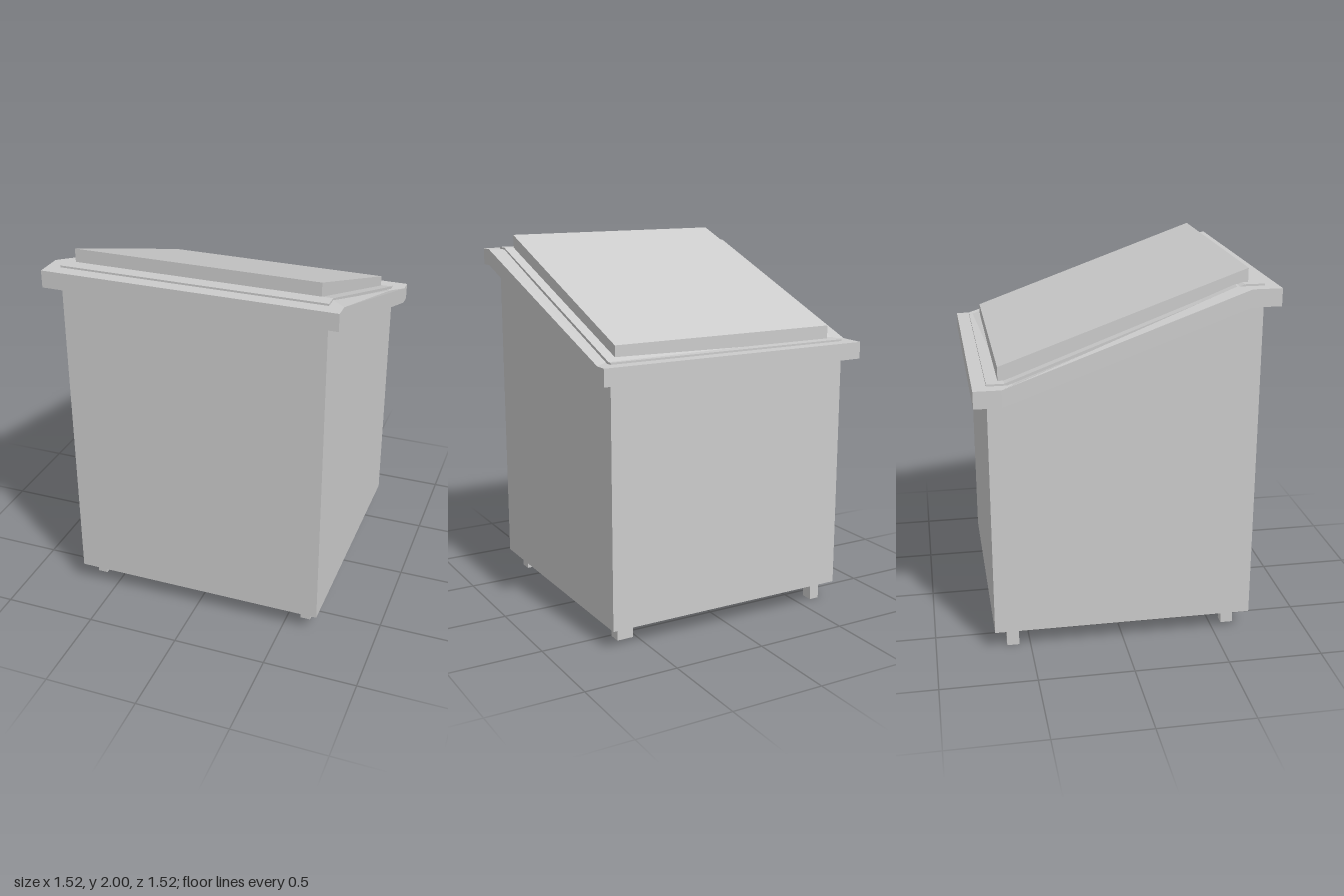
import * as THREE from 'three';

const material = new THREE.MeshStandardMaterial({ color: 0xcccccc, flatShading: true });

// Solid lofted along x; each section is { x, pts: [[z, low, high], ...] } from back to front
function loft(name, sections) {
  const v = [];
  const quad = (a, b, c, d) => v.push(...a, ...b, ...c, ...a, ...c, ...d);
  const lo = (s, i) => [s.x, s.pts[i][1], s.pts[i][0]];
  const hi = (s, i) => [s.x, s.pts[i][2], s.pts[i][0]];
  const n = sections[0].pts.length - 1;
  for (let k = 0; k < sections.length - 1; k++) {
    const a = sections[k], b = sections[k + 1];
    for (let i = 0; i < n; i++) {
      quad(hi(a, i), hi(a, i + 1), hi(b, i + 1), hi(b, i));
      quad(lo(a, i), lo(b, i), lo(b, i + 1), lo(a, i + 1));
    }
    quad(lo(a, n), lo(b, n), hi(b, n), hi(a, n));
    quad(lo(b, 0), lo(a, 0), hi(a, 0), hi(b, 0));
  }
  const l = sections[0], r = sections[sections.length - 1];
  for (let i = 0; i < n; i++) {
    quad(lo(l, i), lo(l, i + 1), hi(l, i + 1), hi(l, i));
    quad(lo(r, i + 1), lo(r, i), hi(r, i), hi(r, i + 1));
  }
  const g = new THREE.BufferGeometry();
  g.setAttribute('position', new THREE.Float32BufferAttribute(v, 3));
  g.computeVertexNormals();
  const mesh = new THREE.Mesh(g, material);
  mesh.name = name;
  return mesh;
}

export function createModel() {
  const group = new THREE.Group();

  // Section with flat ends and a slope between the breaks z0 (back) and z1 (front)
  const section = (x, end, z0, z1, back, front) => ({
    x, pts: [[-end, ...back], [z0, ...back], [z1, ...front], [end, ...front]],
  });

  // Box body with a sloping top
  const body = [[0.11, 1.385], [0.11, 1.83]];
  group.add(loft('body', [
    section(-0.69, 0.69, -0.56, 0.55, ...body),
    section(0.69, 0.69, -0.63, 0.62, ...body),
  ]));

  // Overhanging rim
  const rim = [[1.385, 1.475], [1.83, 1.92]];
  group.add(loft('rim', [
    section(-0.76, 0.76, -0.62, 0.61, ...rim),
    section(-0.69, 0.76, -0.56, 0.55, ...rim),
    section(0.69, 0.76, -0.63, 0.62, ...rim),
    section(0.76, 0.76, -0.69, 0.68, ...rim),
  ]));

  // Thin raised lip on the rim
  const lip = [[1.47, 1.485], [1.915, 1.93]];
  group.add(loft('lip', [
    section(-0.69, 0.69, -0.6, 0.59, ...lip),
    section(0.69, 0.69, -0.67, 0.62, ...lip),
  ]));

  // Sloping lid panel
  const panel = [[-0.63, 1.475, 1.555], [0.62, 1.91, 2]];
  group.add(loft('lidPanel', [{ x: -0.64, pts: panel }, { x: 0.635, pts: panel }]));

  // Feet: x range, z range, bottom height
  const feet = [
    ['frontRightFoot', -0.64, -0.585, 0.55, 0.615, 0.025],
    ['frontLeftFoot', 0.58, 0.635, 0.55, 0.615, 0.025],
    ['backRightFoot', -0.64, -0.585, -0.625, -0.56, 0],
    ['backLeftFoot', 0.545, 0.635, -0.625, -0.56, 0.025],
  ];
  for (const [name, x0, x1, z0, z1, y] of feet) {
    const foot = new THREE.Mesh(new THREE.BoxGeometry(x1 - x0, 0.12 - y, z1 - z0), material);
    foot.position.set((x0 + x1) / 2, (0.12 + y) / 2, (z0 + z1) / 2);
    foot.name = name;
    group.add(foot);
  }
  return group;
}
